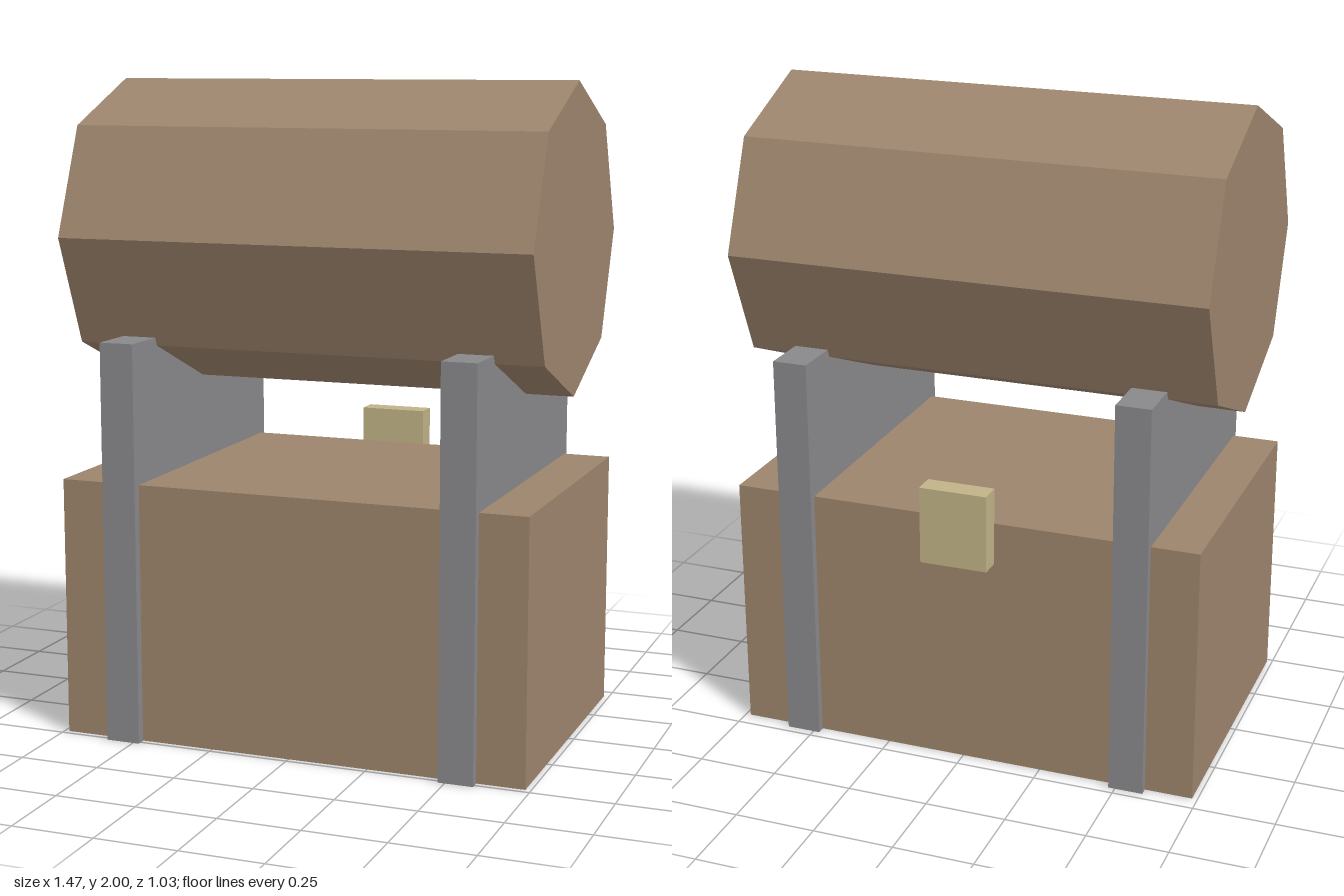
import * as THREE from 'three';

const mat = (name, color) => {
  const m = new THREE.MeshStandardMaterial({ color });
  m.name = name;
  return m;
};

export function createModel() {
  const group = new THREE.Group();
  const wood = mat('wood', 0x9c846c);
  const iron = mat('iron', 0x88888c);
  const brass = mat('brass', 0xc0b286);
  const midZ = 0.018;

  const add = (name, geometry, material, x, y, z) => {
    const mesh = new THREE.Mesh(geometry, material);
    mesh.name = name;
    mesh.position.set(x, y, z);
    group.add(mesh);
  };

  // Chest body, a hair above the strap undersides
  add('chestBody', new THREE.BoxGeometry(1.468, 0.799, 0.934), wood, 0, 0.4005, midZ);

  // Octagonal barrel lid lying along x, with a ridge on top
  const lid = new THREE.CylinderGeometry(0.466, 0.466, 1.468, 8).toNonIndexed();
  lid.rotateZ(Math.PI / 2);
  lid.computeVertexNormals();
  add('lid', lid, wood, 0, 1.534, midZ);

  // Straps running through the body and up into the lid
  for (const [name, side] of [['leftStrap', 1], ['rightStrap', -1]]) {
    add(name, new THREE.BoxGeometry(0.107, 1.23, 0.988), iron, side * 0.533, 0.615, 0.02);
  }

  // Latch on the back edge
  add('latch', new THREE.BoxGeometry(0.21, 0.24, 0.07), brass, 0, 0.79, -0.48);

  return group;
}
